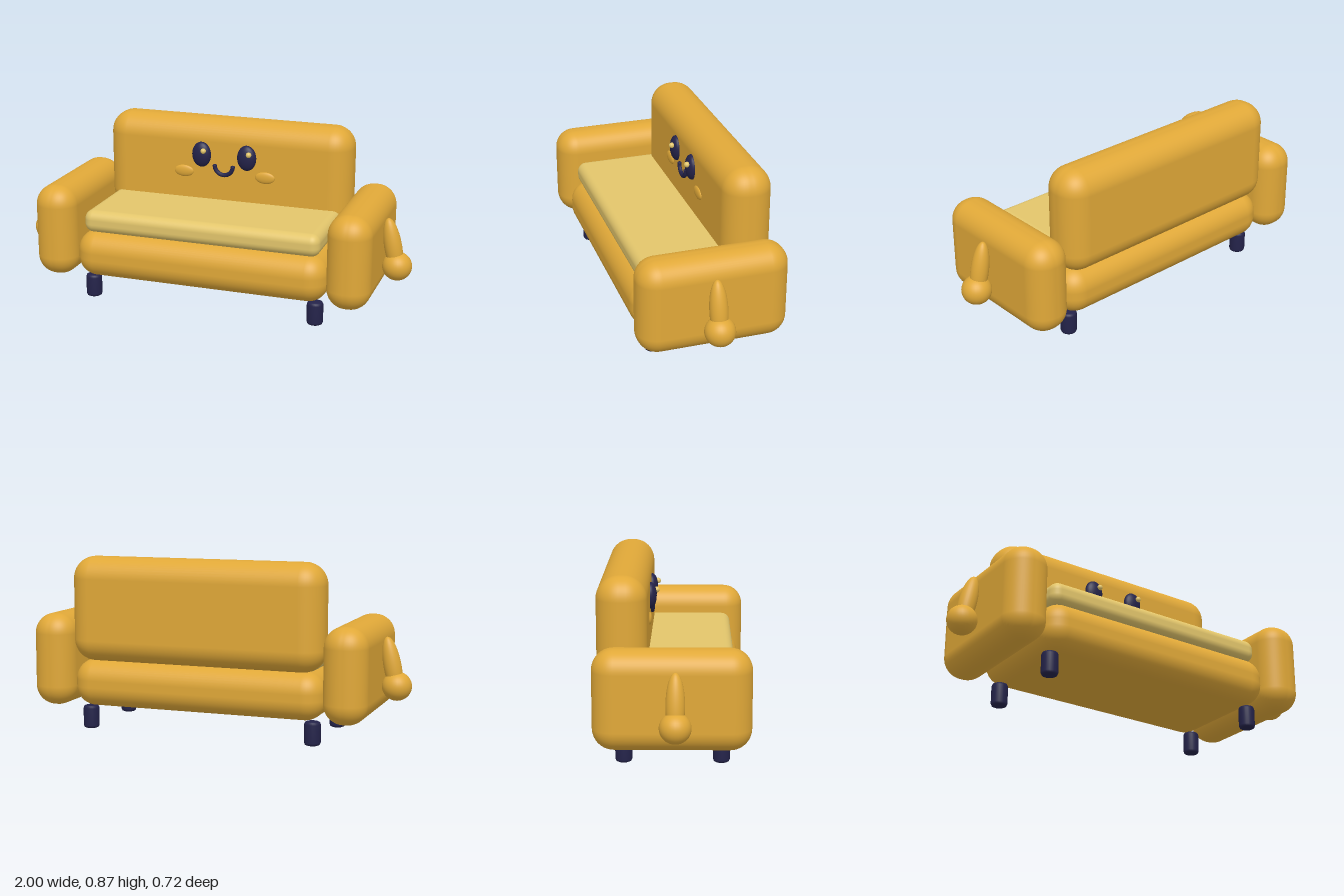
import * as THREE from 'three';
import { RoundedBoxGeometry } from 'three/addons/geometries/RoundedBoxGeometry.js';

export function createModel() {
  const gold = new THREE.MeshStandardMaterial({ name: 'gold fabric', color: 0xe0a838 });
  const cream = new THREE.MeshStandardMaterial({ name: 'pale cushion', color: 0xe2c56b });
  const navy = new THREE.MeshStandardMaterial({ name: 'dark navy', color: 0x24234a });

  const sofa = new THREE.Group();
  sofa.name = 'sofa';

  const add = (name, geometry, material, x, y, z) => {
    const mesh = new THREE.Mesh(geometry, material);
    mesh.name = name;
    mesh.position.set(x, y, z);
    sofa.add(mesh);
    return mesh;
  };

  // Rounded box given by its lower and upper limits on each axis
  const pad = (name, material, [x0, x1], [y0, y1], [z0, z1], radius) =>
    add(name, new RoundedBoxGeometry(x1 - x0, y1 - y0, z1 - z0, 6, radius), material,
      (x0 + x1) / 2, (y0 + y1) / 2, (z0 + z1) / 2);

  const ellipsoid = (name, material, x, y, z, rx, ry, rz) => {
    const geometry = new THREE.SphereGeometry(1, 28, 20).scale(rx, ry, rz);
    return add(name, geometry, material, x, y, z);
  };

  // Upholstered body
  pad('base', gold, [-0.645, 0.645], [0.12, 0.355], [-0.33, 0.33], 0.1);
  pad('seatCushion', cream, [-0.605, 0.605], [0.35, 0.463], [-0.25, 0.29], 0.045);
  pad('backrest', gold, [-0.645, 0.645], [0.35, 0.87], [-0.352, -0.117], 0.108);

  // Leg profile: a cylinder with softened rims
  const legProfile = [[0, 0], [0.028, 0], [0.036, 0.004], [0.04, 0.014],
    [0.04, 0.101], [0.036, 0.111], [0.028, 0.115], [0, 0.115]]
    .map(([r, y]) => new THREE.Vector2(r, y));
  const legGeometry = new THREE.LatheGeometry(legProfile, 24);

  for (const side of [-1, 1]) {
    const label = side > 0 ? 'left' : 'right';

    // Armrest
    const limits = side > 0 ? [0.643, 0.857] : [-0.857, -0.643];
    pad(label + 'Armrest', gold, limits, [0.116, 0.58], [-0.36, 0.36], 0.1);

    // Little arm leaning in towards the sofa, with a round hand
    const arm = ellipsoid(label + 'Arm', gold, side * 0.905, 0.36, 0.017, 0.043, 0.145, 0.043);
    arm.rotation.z = side * 0.2;
    ellipsoid(label + 'Hand', gold, side * 0.928, 0.265, 0.017, 0.072, 0.07, 0.072);

    // Legs
    add(label + 'FrontLeg', legGeometry, navy, side * 0.58, 0, 0.227);
    add(label + 'BackLeg', legGeometry, navy, side * 0.58, 0, -0.227);

    // Eye, its highlight and the cheek; both highlights sit on the same side
    ellipsoid(label + 'Eye', navy, side * 0.12, 0.695, -0.115, 0.05, 0.065, 0.03);
    ellipsoid(label + 'EyeHighlight', cream, side * 0.12 + 0.019, 0.72, -0.085, 0.014, 0.014, 0.014);
    ellipsoid(label + 'Cheek', gold, side * 0.216, 0.6, -0.117, 0.052, 0.03, 0.012);
  }

  // Smile: the lower half of a ring
  const smile = new THREE.TorusGeometry(0.048, 0.011, 10, 28, Math.PI).rotateZ(Math.PI);
  add('mouth', smile, navy, 0, 0.645, -0.11);
  for (const x of [-0.048, 0.048]) {
    ellipsoid('mouthCorner', navy, x, 0.645, -0.11, 0.011, 0.005, 0.011);
  }

  return sofa;
}
